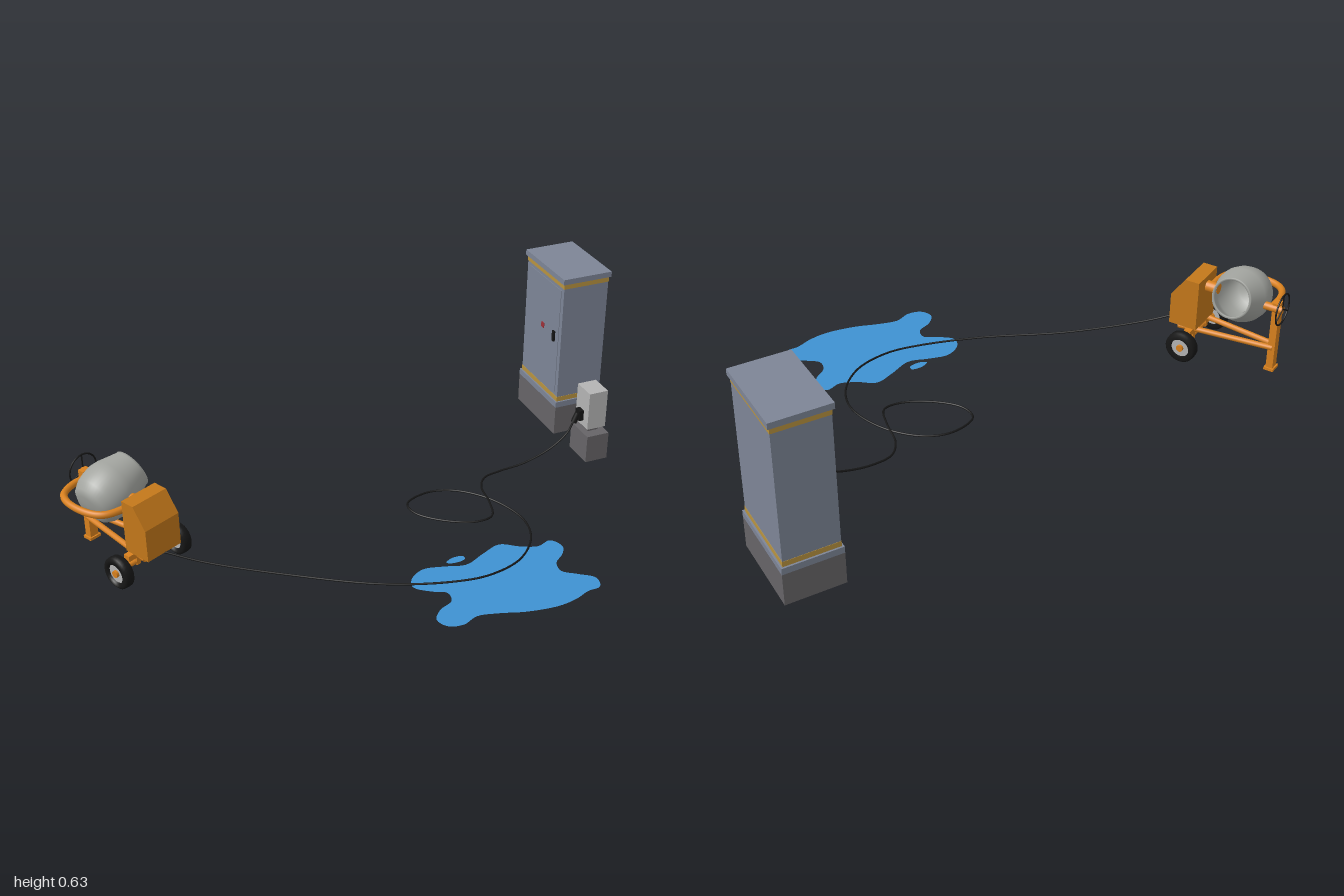
import * as THREE from 'three';

const mat = (color, extra = {}) => new THREE.MeshStandardMaterial({ color, ...extra });
const V = (x, y, z) => new THREE.Vector3(x, y, z);

export function createModel() {
  const root = new THREE.Group();
  const orange = mat(0xd9811e), casing = mat(0xc4781a), black = mat(0x161616);
  const steel = mat(0x7d8596), gold = mat(0xb8933f), concrete = mat(0x666467);
  const lightGrey = mat(0xb4b4b4), drumGrey = mat(0xa3a5a0, { side: THREE.DoubleSide });
  const water = mat(0x3f92d2, { side: THREE.DoubleSide });

  const add = (parent, name, geometry, material, p = [0, 0, 0]) => {
    const m = new THREE.Mesh(geometry, material);
    m.name = name;
    m.position.set(...p);
    parent.add(m);
    return m;
  };
  // Box given by its limits on each axis
  const span = (parent, name, material, x0, x1, y0, y1, z0, z1) =>
    add(parent, name, new THREE.BoxGeometry(x1 - x0, y1 - y0, z1 - z0), material,
      [(x0 + x1) / 2, (y0 + y1) / 2, (z0 + z1) / 2]);
  // Straight bar between two points
  const bar = (parent, name, a, b, r, material, sides = 12) => {
    const m = add(parent, name, new THREE.CylinderGeometry(r, r, a.distanceTo(b), sides), material);
    m.position.copy(a).add(b).multiplyScalar(0.5);
    m.quaternion.setFromUnitVectors(V(0, 1, 0), b.clone().sub(a).normalize());
    return m;
  };
  const group = (parent, name) => {
    const g = new THREE.Group();
    g.name = name;
    parent.add(g);
    return g;
  };

  // ---- Tall electrical cabinet: stacked layers, each with its own inset ----
  const cabinet = group(root, 'cabinet');
  [
    ['cabinetFoundation', concrete, 0.01, 0.12, 0],
    ['cabinetPlinth', steel, 0.12, 0.142, 0],
    ['lowerStripe', gold, 0.142, 0.16, 0.006],
    ['cabinetBody', steel, 0.16, 0.592, 0.007],
    ['upperStripe', gold, 0.592, 0.612, 0.006],
    ['cabinetRoof', steel, 0.612, 0.632, 0],
  ].forEach(([name, m, y0, y1, i]) =>
    span(cabinet, name, m, 0.808 + i, 0.998 - i, y0, y1, -0.613 + i, -0.325 - i));
  span(cabinet, 'cabinetDoor', steel, 0.813, 0.82, 0.175, 0.58, -0.585, -0.35);
  span(cabinet, 'doorHandle', black, 0.806, 0.814, 0.37, 0.41, -0.385, -0.372);
  span(cabinet, 'warningPlate', mat(0x9c3038), 0.811, 0.814, 0.385, 0.405, -0.475, -0.455);

  // ---- Small power post ----
  const post = group(root, 'powerPost');
  span(post, 'postFoundation', concrete, 0.818, 0.904, 0.01, 0.114, -0.222, -0.104);
  span(post, 'postNeck', concrete, 0.84, 0.88, 0.114, 0.136, -0.182, -0.142);
  span(post, 'postBox', lightGrey, 0.823, 0.895, 0.136, 0.28, -0.205, -0.118);
  span(post, 'socket', black, 0.806, 0.824, 0.158, 0.198, -0.18, -0.15);
  bar(post, 'plug', V(0.808, 0.185, -0.165), V(0.793, 0.15, -0.165), 0.011, black);

  // ---- Cable lying in a loop from mixer to post ----
  const path = [
    [-0.755, 0.1, -0.02], [-0.64, 0.068, 0.04], [-0.4, 0.032, 0.16], [-0.13, 0.016, 0.302],
    [0.085, 0.012, 0.37], [0.2, 0.012, 0.38], [0.325, 0.012, 0.342], [0.417, 0.012, 0.246],
    [0.444, 0.012, 0.134], [0.396, 0.012, -0.016], [0.3, 0.012, -0.115], [0.21, 0.012, -0.138],
    [0.12, 0.012, -0.1], [0.122, 0.012, -0.035], [0.19, 0.012, 0.04], [0.29, 0.012, 0.09],
    [0.353, 0.014, 0.082], [0.383, 0.016, 0], [0.4, 0.013, -0.096], [0.44, 0.012, -0.15],
    [0.51, 0.013, -0.166], [0.6, 0.023, -0.166], [0.705, 0.06, -0.166], [0.77, 0.11, -0.166],
    [0.797, 0.16, -0.166],
  ].map((p) => V(...p));
  add(root, 'cable', new THREE.TubeGeometry(new THREE.CatmullRomCurve3(path), 260, 0.0035, 8), black);

  // ---- Puddle: smooth closed outlines in plan (x, z) ----
  const pool = (name, pts) => {
    const curve = new THREE.CatmullRomCurve3(pts.map(([x, z]) => V(x, -z, 0)), true);
    const outline = curve.getPoints(pts.length * 5).map((p) => new THREE.Vector2(p.x, p.y));
    const g = new THREE.ShapeGeometry(new THREE.Shape(outline)).rotateX(-Math.PI / 2);
    add(root, name, g, water, [0, 0.01, 0]);
  };
  pool('puddle', [
    [-0.052, 0.345], [-0.037, 0.3], [0.016, 0.268], [0.085, 0.28], [0.155, 0.298], [0.235, 0.262],
    [0.305, 0.237], [0.36, 0.272], [0.417, 0.295], [0.47, 0.28], [0.492, 0.325], [0.47, 0.365],
    [0.43, 0.4], [0.422, 0.445], [0.465, 0.482], [0.508, 0.52], [0.495, 0.567], [0.45, 0.573],
    [0.395, 0.595], [0.325, 0.606], [0.22, 0.593], [0.14, 0.568], [0.07, 0.555], [0.016, 0.577],
    [-0.032, 0.567], [-0.052, 0.525], [-0.02, 0.482], [0.03, 0.455], [0.036, 0.412], [-0.005, 0.388],
  ]);
  pool('smallPuddle', [[0.1, 0.264], [0.128, 0.247], [0.166, 0.25], [0.164, 0.268], [0.122, 0.275]]);

  // ---- Concrete mixer: built along its own z, then turned ----
  const mixer = group(root, 'concreteMixer');
  mixer.position.set(-0.79, 0, -0.087);
  mixer.rotation.y = 0.478;

  // Wheels and axle
  const tyre = [
    [0.034, -0.018], [0.048, -0.019], [0.055, -0.013], [0.056, 0], [0.055, 0.013],
    [0.048, 0.019], [0.034, 0.018], [0.032, 0], [0.034, -0.018],
  ].map((p) => new THREE.Vector2(...p));
  for (const s of [-1, 1]) {
    const wheel = group(mixer, s > 0 ? 'leftWheel' : 'rightWheel');
    wheel.position.set(s * 0.124, 0.056, 0);
    wheel.rotation.z = Math.PI / 2;
    add(wheel, 'tyre', new THREE.LatheGeometry(tyre, 32), black);
    add(wheel, 'rim', new THREE.CylinderGeometry(0.034, 0.034, 0.022, 28), lightGrey);
    add(wheel, 'hub', new THREE.CylinderGeometry(0.012, 0.012, 0.04, 16), orange);
    // Chassis rails running together at the rear leg
    bar(mixer, 'chassisRail', V(s * 0.055, 0.09, 0.05), V(s * 0.012, 0.09, -0.285), 0.01, orange);
    span(mixer, 'axleBracket', orange, s * 0.05 - 0.008, s * 0.05 + 0.008, 0.05, 0.1, -0.01, 0.01);
  }
  bar(mixer, 'axle', V(-0.12, 0.06, 0), V(0.12, 0.06, 0), 0.009, orange);
  span(mixer, 'crossBeam', orange, -0.09, 0.09, 0.08, 0.1, -0.012, 0.012);

  // Motor casing with sloping front
  const side = new THREE.Shape([
    [-0.022, 0.1], [0.08, 0.1], [0.08, 0.215], [0.03, 0.286], [-0.022, 0.286],
  ].map((p) => new THREE.Vector2(...p)));
  const casingGeo = new THREE.ExtrudeGeometry(side, { depth: 0.14, bevelEnabled: false });
  add(mixer, 'motorCasing', casingGeo.rotateY(-Math.PI / 2).translate(0.07, 0, 0), casing);

  // Rear leg with foot and bearing head
  span(mixer, 'rearLeg', orange, -0.016, 0.016, 0.005, 0.265, -0.295, -0.27);
  span(mixer, 'rearFoot', orange, -0.022, 0.022, 0, 0.01, -0.3, -0.265);

  // Yoke around the closed end of the drum
  const yoke = new THREE.CatmullRomCurve3([
    [0, -0.035], [-0.07, -0.036], [-0.118, -0.055], [-0.142, -0.1], [-0.145, -0.19],
    [-0.122, -0.24], [-0.07, -0.264], [0.015, -0.265],
  ].map(([x, z]) => V(x, 0.245, z)));
  add(mixer, 'yoke', new THREE.TubeGeometry(yoke, 60, 0.012, 10), orange);
  bar(mixer, 'frontPivot', V(0, 0.245, -0.02), V(0, 0.245, -0.065), 0.02, orange, 20);
  bar(mixer, 'rearPivot', V(0.01, 0.245, -0.24), V(0.01, 0.245, -0.305), 0.014, orange, 20);

  // Drum: hollow, open end tilted up
  const drumProfile = [
    [0, -0.1], [0.05, -0.098], [0.072, -0.086], [0.087, -0.06], [0.094, -0.03], [0.096, 0],
    [0.092, 0.025], [0.07, 0.092], [0.07, 0.098], [0.063, 0.098], [0.063, 0.09], [0.086, 0.024],
    [0.089, 0], [0.081, -0.06], [0.05, -0.09], [0, -0.092],
  ].map((p) => new THREE.Vector2(...p));
  const drum = add(mixer, 'drum', new THREE.LatheGeometry(drumProfile, 48), drumGrey, [-0.005, 0.25, -0.15]);
  drum.rotation.z = -Math.PI / 2 + 0.31;
  const paddle = (a) => {
    const p = add(drum, 'mixingPaddle', new THREE.BoxGeometry(0.025, 0.1, 0.006), drumGrey,
      [0.07 * Math.cos(a), -0.015, -0.07 * Math.sin(a)]);
    p.rotation.y = a;
  };
  [0.5, 0.5 + Math.PI].forEach(paddle);

  // Tilting hand wheel
  const handWheel = group(mixer, 'handWheel');
  handWheel.position.set(0.012, 0.25, -0.305);
  add(handWheel, 'handWheelRing', new THREE.TorusGeometry(0.055, 0.003, 8, 40), black);
  for (let i = 0; i < 3; i++) {
    const a = (i * Math.PI * 2) / 3 + Math.PI / 2;
    bar(handWheel, 'spoke', V(0, 0, 0), V(0.055 * Math.cos(a), 0.055 * Math.sin(a), 0), 0.0025, black, 8);
  }
  return root;
}
